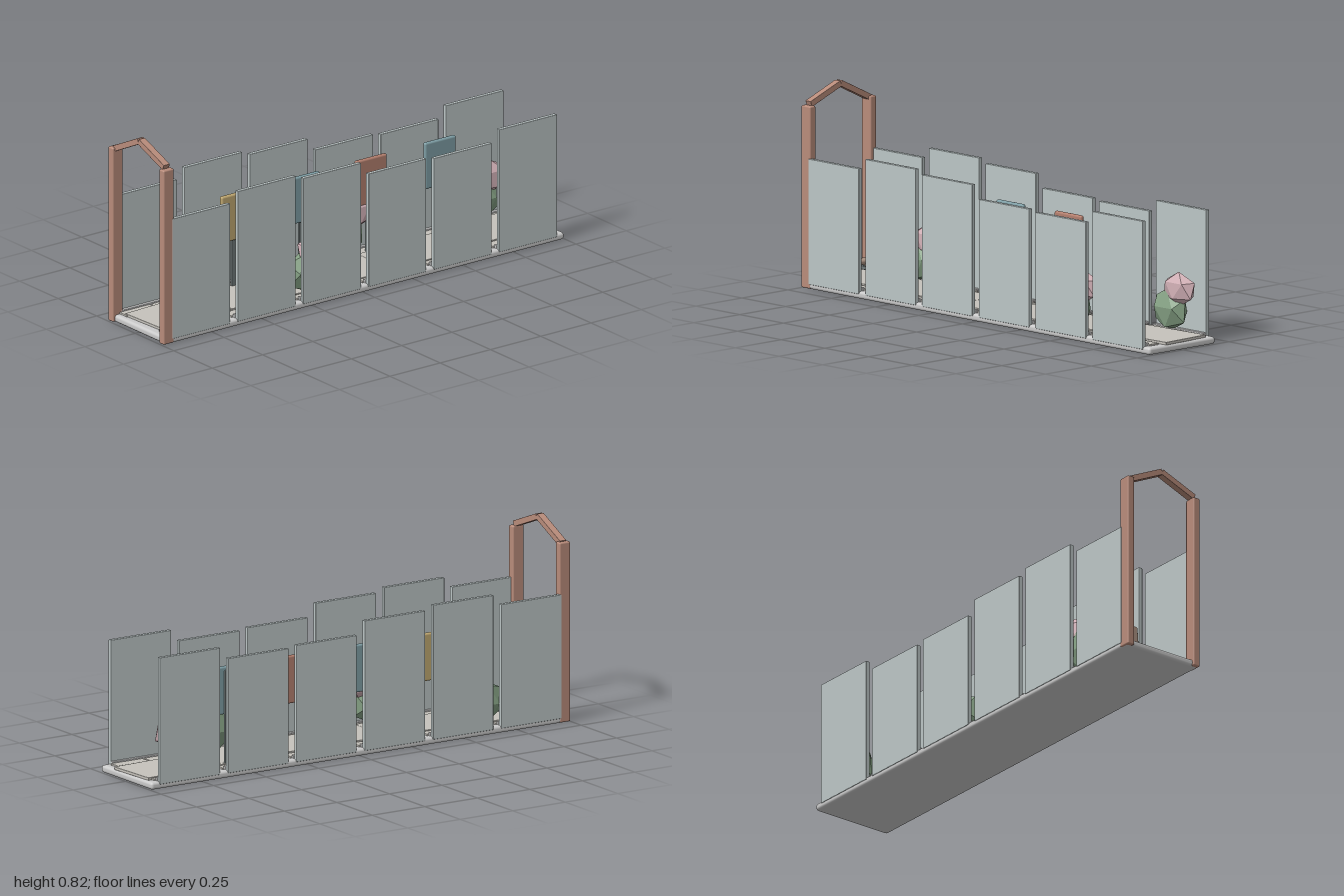
import * as THREE from 'three';
import { RoundedBoxGeometry } from 'three/addons/geometries/RoundedBoxGeometry.js';

const mat = (color, flatShading = false) => new THREE.MeshStandardMaterial({ color, flatShading });
const stone = mat(0xcccccc);
const paving = mat(0xc6c3bc);
const glass = mat(0xbcc6c6);
const copper = mat(0xb98c7b);
const wood = mat(0xa89080);
const metal = mat(0x6f7878);
const leaf = mat(0x86a285, true);
const blossom = mat(0xcfaeb4, true);

// Softly rounded box, added to a parent
function box(parent, name, size, pos, material, radius = 0.004) {
  const r = Math.min(radius, Math.min(...size) * 0.45);
  const mesh = new THREE.Mesh(new RoundedBoxGeometry(...size, 2, r), material);
  mesh.position.set(...pos);
  mesh.name = name;
  parent.add(mesh);
  return mesh;
}

// Faceted boulder-like crown, optionally standing on a vertex
function crown(parent, name, radii, pos, tilt, material) {
  const geo = new THREE.IcosahedronGeometry(1, 0);
  geo.rotateZ(tilt);
  geo.scale(...radii);
  const mesh = new THREE.Mesh(geo, material);
  mesh.position.set(...pos);
  mesh.name = name;
  parent.add(mesh);
}

export function createModel() {
  const model = new THREE.Group();
  model.name = 'gardenWalk';

  // Ground slab
  box(model, 'groundSlab', [0.36, 0.03, 1.985], [0, 0.016, -0.005], stone, 0.012);

  // Slightly turned path slabs: z centre, length, x centre, turn
  const slabs = [
    [-0.79, 0.4, -0.015, 0.05],
    [-0.4, 0.44, 0.01, 0.03],
    [0.0, 0.42, 0.015, -0.02],
    [0.38, 0.42, 0.0, -0.06],
    [0.76, 0.39, -0.015, 0.05],
  ];
  slabs.forEach(([z, length, x, turn], i) => {
    const slab = box(model, 'pathSlab', [0.225, 0.012, length], [x, 0.036 + (i % 2) * 0.001, z], paving, 0.002);
    slab.rotation.y = turn;
  });

  // Side walls with kerbs and edging tiles
  const heights = [0.525, 0.568, 0.55, 0.496, 0.488, 0.536];
  for (const side of [-1, 1]) {
    heights.forEach((top, i) => {
      const z = 0.81 - i * 0.325;
      box(model, 'wallPanel', [0.018, top - 0.02, 0.288], [side * 0.173, (top + 0.02) / 2, z], glass, 0.003);
      box(model, 'kerb', [0.016, 0.016, 0.29], [side * 0.156, 0.036, z], stone, 0.003);
      for (const k of [-1, 1]) {
        box(model, 'edgingTile', [0.05, 0.008, 0.15], [side * 0.128, 0.034, z + k * 0.078], paving, 0.002);
      }
    });
  }

  // Entrance gate
  const gate = new THREE.Group();
  gate.name = 'gate';
  model.add(gate);
  for (const side of [-1, 1]) {
    box(gate, 'gatePost', [0.032, 0.732, 0.052], [side * 0.165, 0.369, 0.971], copper, 0.006);
  }
  box(gate, 'gateBeam', [0.178, 0.024, 0.03], [-0.08, 0.767, 0.971], copper, 0.001).rotation.z = 0.45;
  box(gate, 'gateBeam', [0.174, 0.024, 0.03], [0.082, 0.773, 0.971], copper, 0.001).rotation.z = -0.37;

  // Two-tone faceted bushes
  const bushes = [[-0.117, -0.83], [0.113, -0.52], [-0.117, -0.16], [0.113, 0.22], [-0.117, 0.6]];
  for (const [x, z] of bushes) {
    const bush = new THREE.Group();
    bush.name = 'bush';
    bush.position.set(x, 0, z);
    model.add(bush);
    crown(bush, 'bushLeaves', [0.05, 0.09, 0.095], [0, 0.125, 0.025], 0.12, leaf);
    crown(bush, 'bushBlossom', [0.044, 0.07, 0.09], [0, 0.21, -0.025], 0.5, blossom);
  }

  // Coloured boards on slim stands
  const boards = [[0.423, 0xc0a871], [0.088, 0x7f9fa6], [-0.245, 0xb5806f], [-0.588, 0x7f9fa6]];
  for (const [z, color] of boards) {
    const sign = new THREE.Group();
    sign.name = 'displayBoard';
    model.add(sign);
    box(sign, 'board', [0.019, 0.195, 0.155], [-0.098, 0.337, z], mat(color), 0.008);
    box(sign, 'boardStand', [0.012, 0.385, 0.03], [-0.111, 0.227, z], metal, 0.002);
  }

  // Bench
  const bench = new THREE.Group();
  bench.name = 'bench';
  bench.position.set(0.033, 0, 0.735);
  bench.rotation.y = 0.05;
  model.add(bench);
  box(bench, 'benchSeat', [0.153, 0.023, 0.046], [0, 0.121, 0.04], wood, 0.01);
  box(bench, 'benchSeat', [0.153, 0.023, 0.046], [0, 0.121, -0.04], wood, 0.01);
  box(bench, 'benchBack', [0.153, 0.13, 0.03], [0, 0.2, -0.046], wood, 0.007).rotation.x = -0.08;
  for (const x of [-0.055, 0.055]) {
    for (const z of [-0.036, 0.036]) {
      box(bench, 'benchLeg', [0.024, 0.075, 0.024], [x, 0.077, z], metal, 0.003);
    }
    box(bench, 'benchRail', [0.022, 0.015, 0.1], [x, 0.107, 0], metal, 0.003);
  }
  return model;
}
